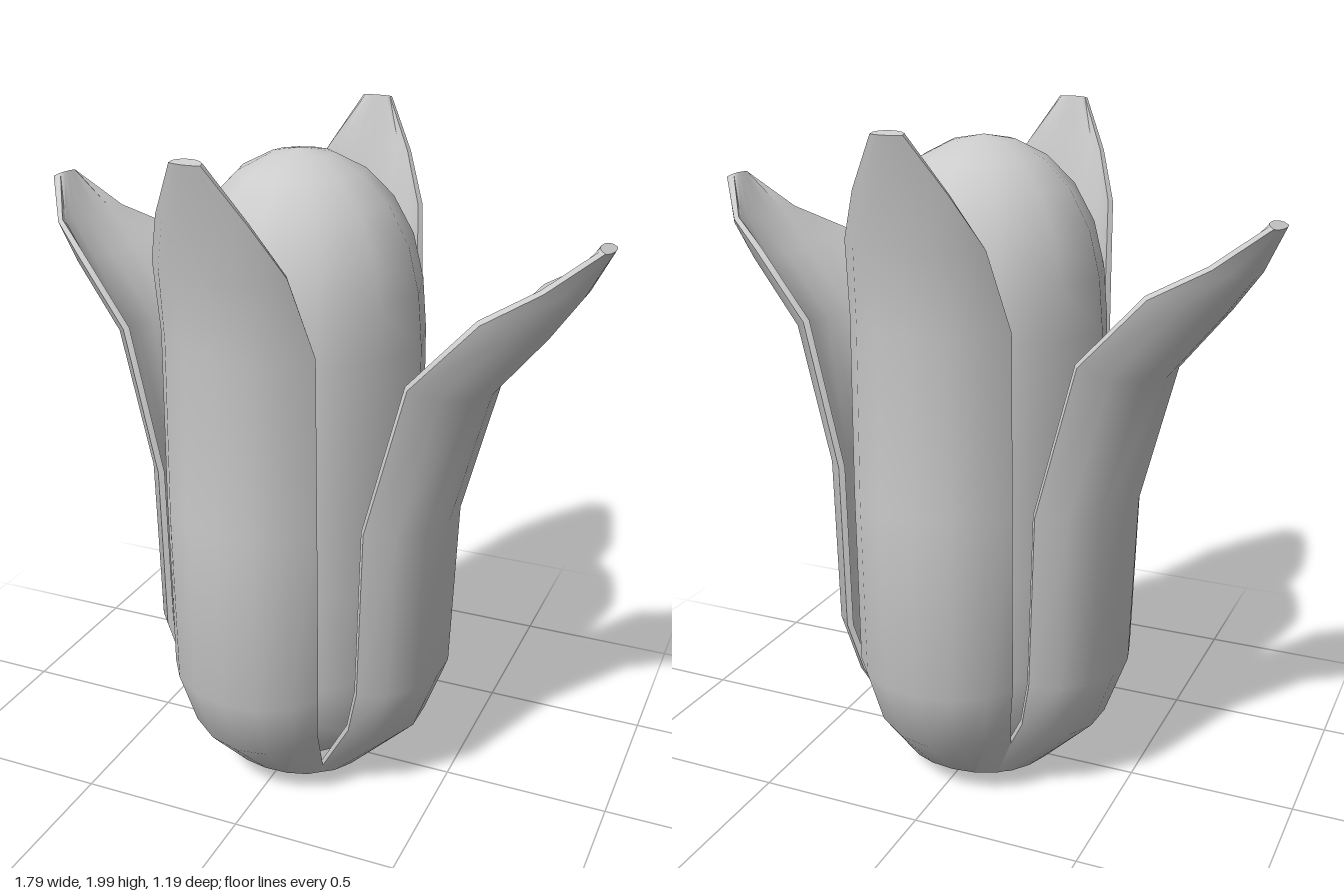
import * as THREE from 'three';
import { toCreasedNormals } from 'three/addons/utils/BufferGeometryUtils.js';

const material = new THREE.MeshStandardMaterial({ color: 0xcccccc });
const THICKNESS = 0.036;
const ARC = 1.2; // half angle of the curved leaf section
const STEPS = 6; // facets across a leaf

// Leaf rows from base to tip:
// [outward distance, height, half width, depth of curl, sideways drift]
const uprightRows = [
  [0.24, 0.03, 0.17, 0.07, 0], [0.41, 0.2, 0.22, 0.12, 0], [0.483, 0.4, 0.245, 0.13, 0],
  [0.5, 0.95, 0.245, 0.135, 0], [0.493, 1.46, 0.24, 0.125, 0], [0.53, 1.68, 0.203, 0.08, 0],
  [0.56, 1.83, 0.135, 0.035, 0], [0.598, 1.985, 0.045, 0.006, 0],
];
const splayedRows = [
  [0.24, 0.03, 0.17, 0.07, 0], [0.41, 0.2, 0.22, 0.12, 0], [0.485, 0.4, 0.245, 0.135, 0],
  [0.503, 0.92, 0.245, 0.14, 0], [0.605, 1.32, 0.235, 0.145, 0.02], [0.75, 1.5, 0.212, 0.125, 0.04],
  [0.825, 1.615, 0.135, 0.065, 0.075], [0.9, 1.75, 0.042, 0.008, 0.06],
];

// Closed, curled strip that grows upwards and faces +z
function leafGeometry(rows) {
  const positions = [];
  const index = [];
  const n = STEPS + 1;
  const loop = 2 * n;

  rows.forEach(([r, y, w, curl, drift], i) => {
    // inward direction, square to the leaf's path; level at the flat base
    const before = rows[Math.max(i - 1, 0)];
    const after = rows[Math.min(i + 1, rows.length - 1)];
    const inward = i === 0
      ? new THREE.Vector2(-1, 0)
      : new THREE.Vector2(before[1] - after[1], after[0] - before[0]).normalize();
    for (let k = 0; k < loop; k++) {
      const inner = k >= n;
      const a = ARC * (2 * (inner ? loop - 1 - k : k) / STEPS - 1);
      const bend = (1 - Math.cos(a)) / (1 - Math.cos(ARC));
      let x = w * Math.sin(a) / Math.sin(ARC);
      let depth = curl * bend;
      if (inner) { // the wall thins towards its edges
        x *= 0.95;
        depth += THICKNESS * (1 - 0.6 * bend);
      }
      positions.push(x + drift, y + inward.y * depth, r + inward.x * depth);
    }
  });

  // skin
  for (let i = 0; i < rows.length - 1; i++) {
    for (let k = 0; k < loop; k++) {
      const a = i * loop + k;
      const b = i * loop + (k + 1) % loop;
      index.push(a, b, b + loop, a, b + loop, a + loop);
    }
  }
  // base and tip caps
  const top = (rows.length - 1) * loop;
  for (let k = 0; k < STEPS; k++) {
    const [a, b, c, d] = [k, k + 1, loop - 2 - k, loop - 1 - k];
    index.push(a, c, b, a, d, c);
    index.push(top + a, top + b, top + c, top + a, top + c, top + d);
  }

  const geometry = new THREE.BufferGeometry();
  geometry.setAttribute('position', new THREE.Float32BufferAttribute(positions, 3));
  geometry.setIndex(index);
  return toCreasedNormals(geometry, 0.9);
}

export function createModel() {
  const group = new THREE.Group();

  // Rounded cob in the middle
  const profile = [
    [0, 0.005], [0.1, 0.025], [0.2, 0.075], [0.28, 0.16], [0.335, 0.27], [0.36, 0.4],
    [0.368, 0.7], [0.37, 1.1], [0.365, 1.4], [0.352, 1.55], [0.32, 1.68],
    [0.26, 1.79], [0.18, 1.87], [0.09, 1.915], [0, 1.93],
  ].map(([x, y]) => new THREE.Vector2(x, y));
  const cob = new THREE.Mesh(new THREE.LatheGeometry(profile, 12), material);
  cob.name = 'cob';
  group.add(cob);

  // Four husk leaves, each turned a little differently
  const upright = leafGeometry(uprightRows);
  const splayed = leafGeometry(splayedRows);
  const leaves = [
    ['frontLeaf', upright, -5], ['backLeaf', upright, 180],
    ['leftLeaf', splayed, 80], ['rightLeaf', splayed, -104],
  ];
  for (const [name, geometry, degrees] of leaves) {
    const leaf = new THREE.Mesh(geometry, material);
    leaf.name = name;
    leaf.rotation.y = THREE.MathUtils.degToRad(degrees);
    group.add(leaf);
  }
  return group;
}
